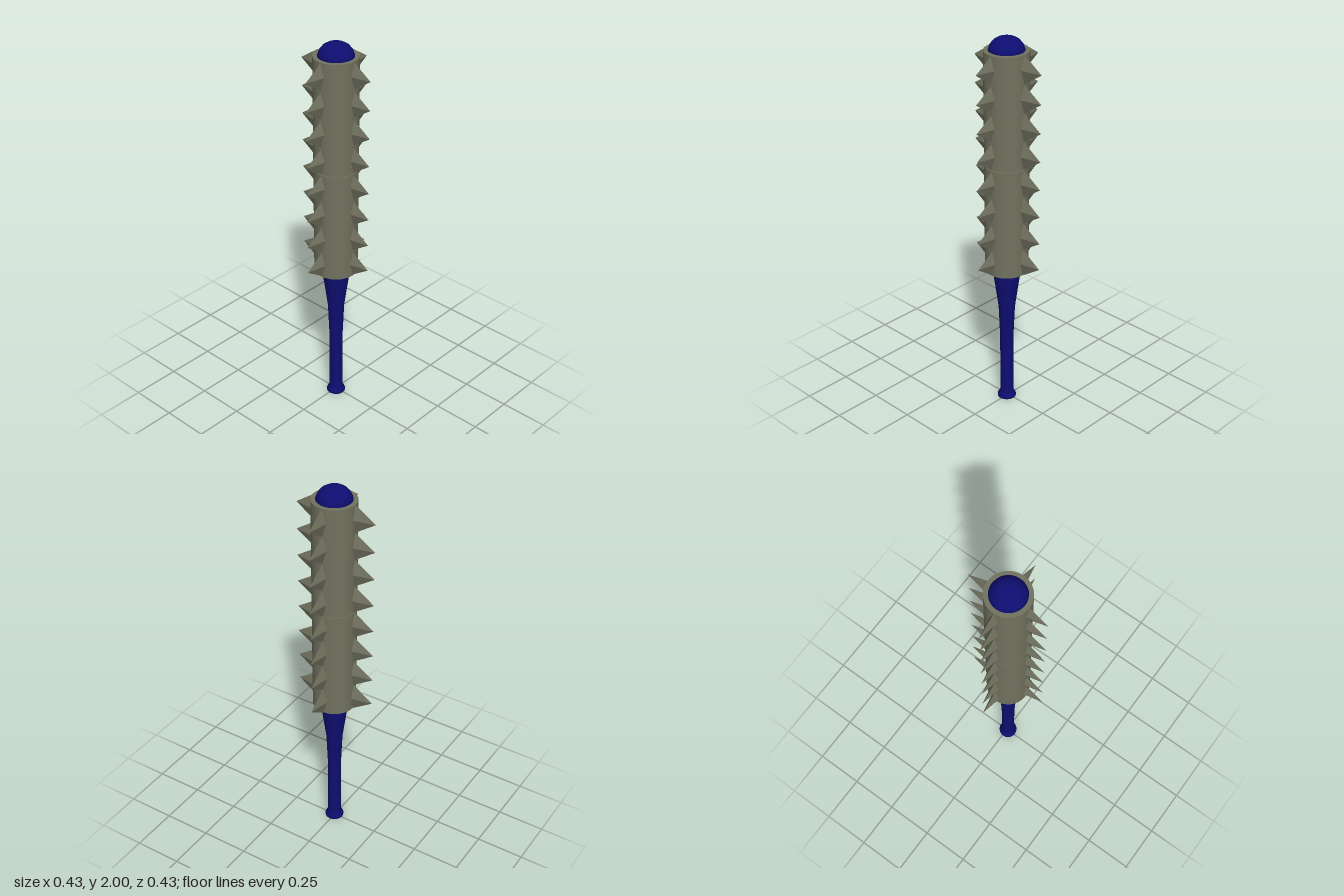
import * as THREE from 'three';

export function createModel() {
  const model = new THREE.Group();
  model.name = 'spikedBat';
  const navy = new THREE.MeshStandardMaterial({ color: 0x0e0e72 });
  navy.name = 'navy blue';
  const drab = new THREE.MeshStandardMaterial({ color: 0x727260 });
  drab.name = 'drab metal';

  const add = (parent, geometry, material, name) => {
    const mesh = new THREE.Mesh(geometry, material);
    mesh.name = name;
    parent.add(mesh);
    return mesh;
  };

  // The shaft sits very slightly off centre
  const cx = -0.005, cz = 0.005;

  // Bat: knob, slim grip, flare, barrel and domed tip
  const profile = [
    [0, 0], [0.048, 0], [0.048, 0.01], [0.04, 0.025], [0.035, 0.036], [0.034, 0.2],
    [0.035, 0.38], [0.042, 0.55], [0.058, 0.67], [0.073, 0.775], [0.084, 1.0],
    [0.088, 1.3], [0.088, 1.94], [0.08, 1.962], [0.064, 1.983], [0.045, 1.995], [0.025, 2], [0, 2],
  ].map(([r, y]) => new THREE.Vector2(r, y));
  const bat = add(model, new THREE.LatheGeometry(profile, 48), navy, 'bat');
  bat.position.set(cx, 0, cz);

  // Wedge spike pointing along +x: tall diamond base, four flat faces
  const spikeGeometry = new THREE.ConeGeometry(1, 1, 4, 1, true).toNonIndexed();
  spikeGeometry.rotateZ(-Math.PI / 2);
  spikeGeometry.scale(0.108, 0.0725, 0.022);
  spikeGeometry.translate(0.054, 0, 0);
  spikeGeometry.computeVertexNormals();

  // Spike rows: position at the sleeve surface and heading
  const rows = [
    ['left', 0.105, 0.001, 0],
    ['back', -0.008, -0.107, Math.PI / 2],
    ['right', -0.107, 0.009, Math.PI],
    ['front', 0, 0.105, -Math.PI / 2],
  ];

  // Two stacked sleeves, each with four rings of four spikes
  const sleeveHeight = 0.582;
  for (const [name, bottom] of [['lowerSleeve', 0.775], ['upperSleeve', 1.358]]) {
    const group = new THREE.Group();
    group.name = name;
    model.add(group);
    const shell = add(group, new THREE.CylinderGeometry(0.11, 0.11, sleeveHeight - 0.003, 48), drab, 'sleeveShell');
    shell.position.set(cx, bottom + sleeveHeight / 2, cz);
    for (let i = 0; i < 4; i++) {
      for (const [side, x, z, angle] of rows) {
        const spike = add(group, spikeGeometry, drab, side + 'Spike');
        spike.position.set(x, bottom + 0.0728 + i * 0.1455, z);
        spike.rotation.y = angle;
      }
    }
  }
  return model;
}
